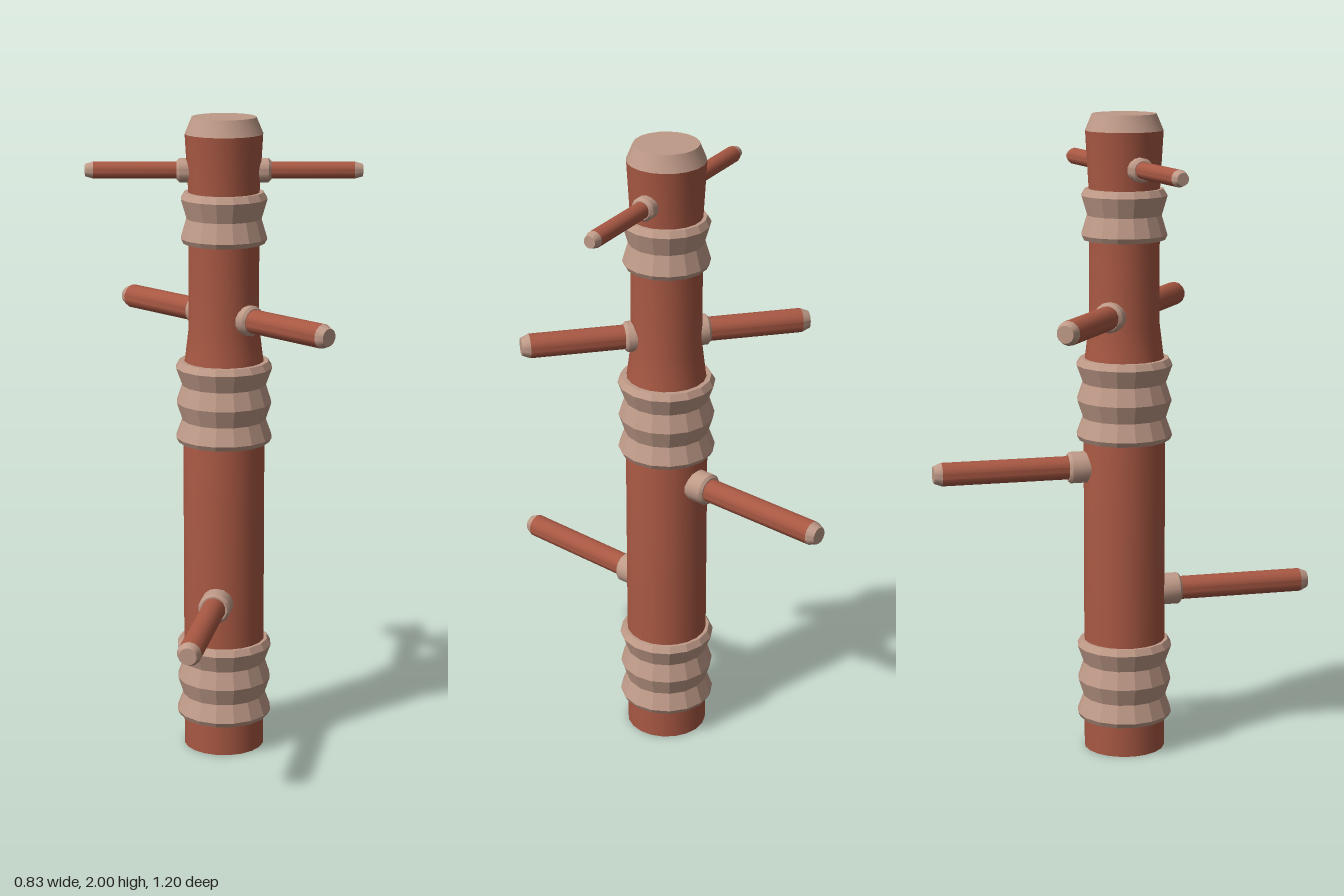
import * as THREE from 'three';
import { toCreasedNormals } from 'three/addons/utils/BufferGeometryUtils.js';

const rust = new THREE.MeshStandardMaterial({ color: 0xa85843 });
rust.name = 'rust red wood';
const tan = new THREE.MeshStandardMaterial({ color: 0xbf9a88 });
tan.name = 'pale tan trim';

// Turned part from [radius, height] pairs, bottom to top
function turned(name, profile, sides, material, crease = 0.65) {
  const points = profile.map(([r, y]) => new THREE.Vector2(r, y));
  const geometry = toCreasedNormals(new THREE.LatheGeometry(points, sides), crease);
  const mesh = new THREE.Mesh(geometry, material);
  mesh.name = name;
  return mesh;
}

// Ridged ring: wide lips with pinched grooves between them
function band(name, y0, height, ridges, wide, narrow) {
  const step = (height - 0.035) / (2 * (ridges - 1));
  const profile = [[narrow - 0.02, y0], [wide - 0.008, y0], [wide, y0 + 0.015]];
  for (let i = 1; i < 2 * (ridges - 1); i++) {
    profile.push([i % 2 ? narrow : wide - 0.002, y0 + 0.015 + i * step]);
  }
  profile.push([wide, y0 + height - 0.02], [wide - 0.012, y0 + height], [narrow - 0.03, y0 + height]);
  return turned(name, profile, 16, tan, 0.1);
}

// Arm pointing outwards: collar, rod and chamfered tip
function arm(name, y, angle, length, radius, collarEnd, collarRadius) {
  const group = new THREE.Group();
  group.name = name;
  const tip = length - 0.025;
  const bevel = 0.008;
  group.add(
    turned('rod', [[radius, 0.04], [radius, tip]], 14, rust),
    turned('rodTip', [[radius, tip], [radius * 0.72, length], [0, length]], 14, tan, 0.5),
    turned('collar', [
      [collarRadius, 0.07],
      [collarRadius, collarEnd - bevel],
      [collarRadius - bevel, collarEnd],
      [radius * 0.9, collarEnd],
    ], 14, tan, 0.5),
  );
  group.rotation.set(Math.PI / 2, 0, 0);
  const pivot = new THREE.Group();
  pivot.name = name + 'Mount';
  pivot.position.y = y;
  pivot.rotation.y = angle; // zero faces +z
  pivot.add(group);
  return pivot;
}

export function createModel() {
  const model = new THREE.Group();
  model.name = 'trainingPost';

  // Post, narrowing above the middle band and flaring to the cap
  model.add(
    turned('post', [
      [0, 0], [0.127, 0], [0.127, 1.23], [0.12, 1.27], [0.109, 1.36],
      [0.108, 1.7], [0.109, 1.78], [0.119, 1.95],
    ], 20, rust),
    turned('cap', [[0.119, 1.95], [0.098, 2], [0, 2]], 20, tan, 0.5),
  );

  // Ridged rings
  model.add(
    band('lowerBand', 0.1, 0.255, 3, 0.15, 0.13),
    band('middleBand', 1.0, 0.255, 3, 0.15, 0.13),
    band('upperBand', 1.62, 0.155, 2, 0.133, 0.115),
  );

  // Arms in opposing pairs
  const diagonal = Math.atan2(0.355, 0.26);
  const side = Math.atan2(0.41, -0.073);
  model.add(
    arm('frontArm', 0.505, 0, 0.6, 0.037, 0.18, 0.05),
    arm('backArm', 0.915, Math.PI, 0.6, 0.037, 0.18, 0.05),
  );
  [['left', 0], ['right', Math.PI]].forEach(([label, turn]) => {
    model.add(
      arm(label + 'DiagonalArm', 1.395, diagonal + turn, 0.445, 0.037, 0.132, 0.047),
      arm(label + 'UpperArm', 1.84, side + turn, 0.418, 0.026, 0.142, 0.037),
    );
  });
  return model;
}
